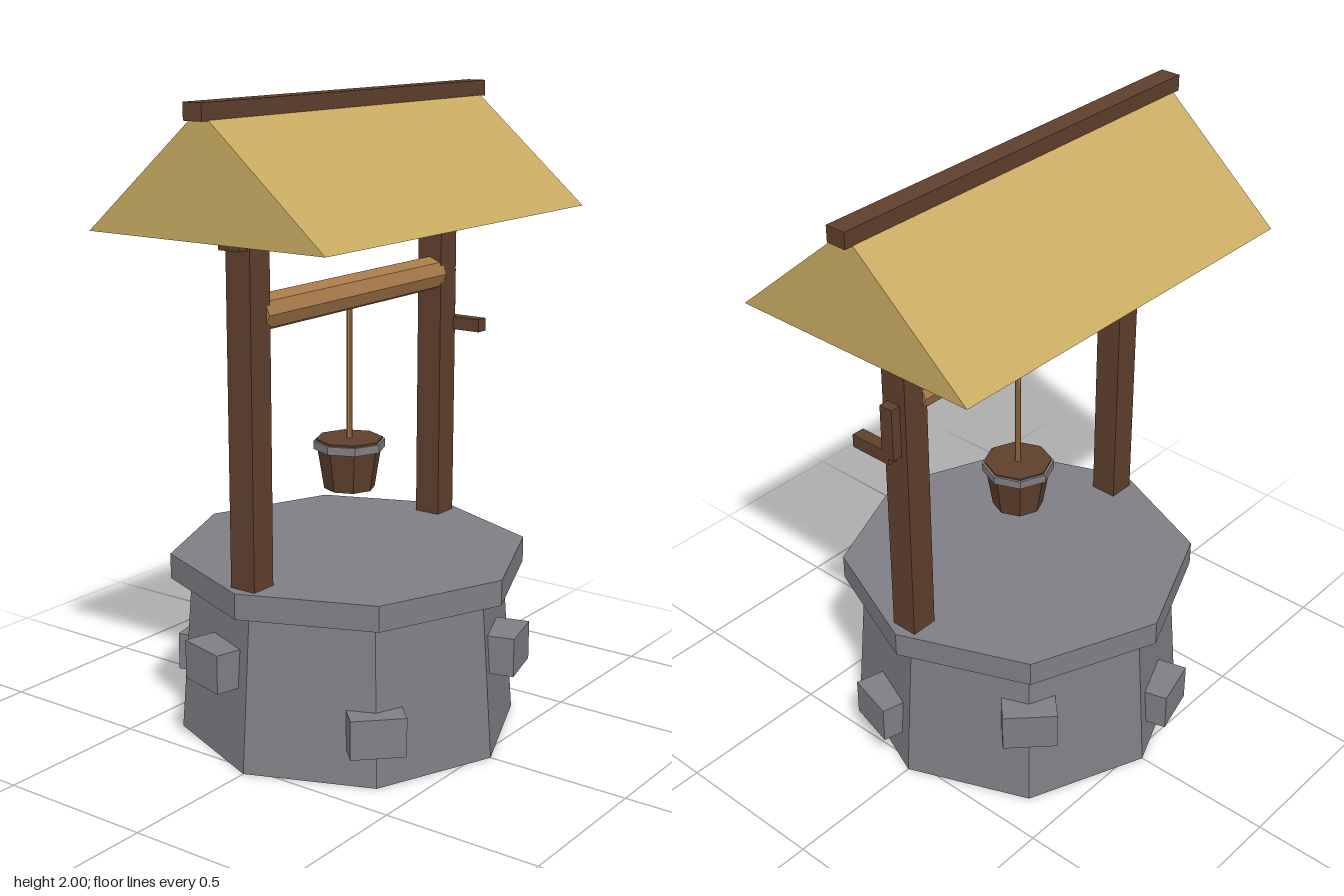
import * as THREE from 'three';

function material(name, color) {
  const m = new THREE.MeshStandardMaterial({ color, flatShading: true });
  m.name = name;
  return m;
}

export function createModel() {
  const stone = material('stone', 0x7f7e84);
  const darkWood = material('darkWood', 0x5e3f2c);
  const paleWood = material('paleWood', 0xa87a4a);
  const thatch = material('thatch', 0xc9ac62);

  const well = new THREE.Group();
  well.name = 'well';

  function add(name, geometry, mat, x, y, z) {
    const mesh = new THREE.Mesh(geometry, mat);
    mesh.name = name;
    mesh.position.set(x, y, z);
    well.add(mesh);
    return mesh;
  }
  const box = (name, mat, w, h, d, x, y, z) =>
    add(name, new THREE.BoxGeometry(w, h, d), mat, x, y, z);
  const drum = (name, mat, top, bottom, y0, y1) =>
    add(name, new THREE.CylinderGeometry(top, bottom, y1 - y0, 8), mat, 0, (y0 + y1) / 2, 0);

  // Octagonal stone base and rim
  drum('base', stone, 0.5, 0.538, 0, 0.5);
  drum('rim', stone, 0.565, 0.565, 0.5, 0.58);

  // Six protruding stones, alternating high and low
  for (let i = 0; i < 6; i++) {
    const a = THREE.MathUtils.degToRad(15 + i * 60);
    const r = 0.51;
    const block = box('protrudingStone', stone, 0.168, 0.122, 0.12,
      Math.sin(a) * r, i % 2 ? 0.171 : 0.312, Math.cos(a) * r);
    block.rotation.y = a;
  }

  // Posts and cross beam
  for (const side of [-1, 1]) {
    box('post', darkWood, 0.088, 1.08, 0.088, side * 0.483, 1.12, 0);
  }
  box('crossBeam', darkWood, 1.13, 0.075, 0.075, 0, 1.6225, 0);

  // Axle with rope
  const axle = add('axle', new THREE.CylinderGeometry(0.055, 0.055, 0.912, 8), paleWood, 0, 1.392, 0);
  axle.rotation.z = Math.PI / 2;
  drum('rope', paleWood, 0.009, 0.009, 0.92, 1.36);

  // Crank arm and handle on the left post
  box('crankArm', darkWood, 0.036, 0.17, 0.046, 0.542, 1.307, 0);
  box('crankHandle', darkWood, 0.042, 0.042, 0.145, 0.538, 1.221, 0.07);

  // Bucket with metal band
  drum('bucket', darkWood, 0.106, 0.08, 0.772, 0.932);
  drum('bucketBand', stone, 0.113, 0.113, 0.9, 0.926);

  // Closed gable roof and ridge beam
  const gable = new THREE.Shape([
    new THREE.Vector2(-0.423, 1.62),
    new THREE.Vector2(0.423, 1.62),
    new THREE.Vector2(0, 1.98),
  ]);
  const roofGeometry = new THREE.ExtrudeGeometry(gable, { depth: 1.356, bevelEnabled: false });
  roofGeometry.translate(0, 0, -0.678);
  roofGeometry.rotateY(Math.PI / 2);
  add('roof', roofGeometry, thatch, 0, 0, 0);
  box('ridgeBeam', darkWood, 1.41, 0.05, 0.066, 0, 1.975, 0);

  return well;
}
